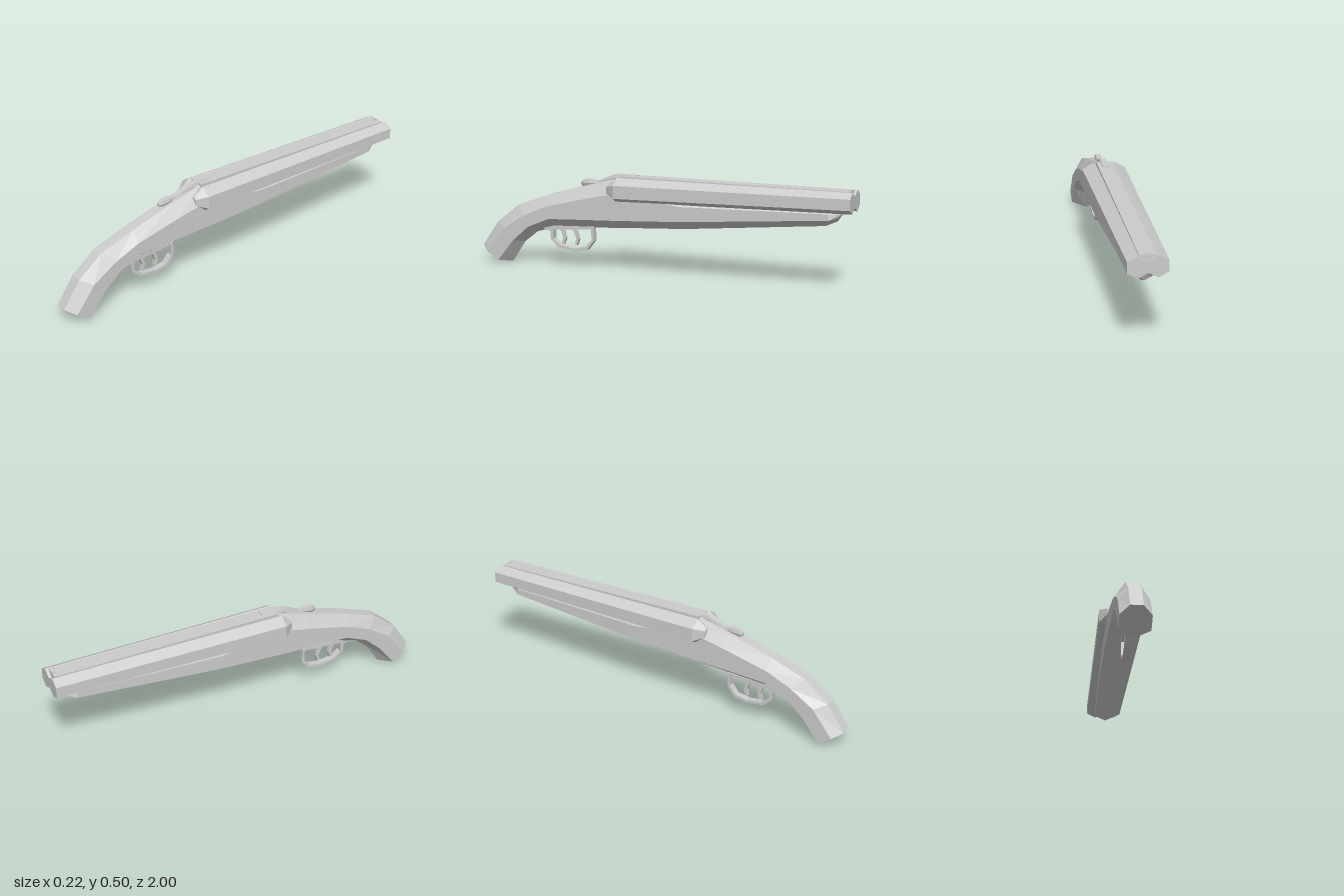
import * as THREE from 'three';

const material = new THREE.MeshStandardMaterial({ color: 0xcccccc, flatShading: true });

function addMesh(parent, name, geometry) {
  const mesh = new THREE.Mesh(geometry, material);
  mesh.name = name;
  parent.add(mesh);
  return mesh;
}

// Closed skin over rings of [x, y, z], counterclockwise seen from +z, ordered from -z to +z
function loft(rings) {
  const n = rings[0].length;
  const points = rings.flat();
  const index = [];
  for (let i = 0; i < rings.length - 1; i++) {
    for (let j = 0; j < n; j++) {
      const a = i * n + j, b = i * n + (j + 1) % n;
      index.push(a, b, a + n, b, b + n, a + n);
    }
  }
  for (const end of [0, rings.length - 1]) {
    const ring = rings[end];
    const centre = points.length;
    points.push([0, 1, 2].map(k => ring.reduce((sum, p) => sum + p[k], 0) / n));
    for (let j = 0; j < n; j++) {
      const a = end * n + j, b = end * n + (j + 1) % n;
      if (end === 0) index.push(centre, b, a);
      else index.push(centre, a, b);
    }
  }
  const geometry = new THREE.BufferGeometry();
  geometry.setAttribute('position', new THREE.Float32BufferAttribute(points.flat(), 3));
  geometry.setIndex(index);
  const flat = geometry.toNonIndexed();
  flat.computeVertexNormals();
  return flat;
}

// Seven-sided stock section: [z, y] of flat top, upper side, lower side and keel
function stockRing([top, upper, lower, keel, topWidth, width]) {
  return [
    [0, keel[1], keel[0]],
    [width, lower[1], lower[0]],
    [width, upper[1], upper[0]],
    [topWidth, top[1], top[0]],
    [-topWidth, top[1], top[0]],
    [-width, upper[1], upper[0]],
    [-width, lower[1], lower[0]],
  ];
}

// Hexagon with a point at top and bottom
function hexRing(z, cx, cy, halfWidth, halfHeight, sideHalf) {
  return [
    [cx, cy - halfHeight, z],
    [cx + halfWidth, cy - sideHalf, z],
    [cx + halfWidth, cy + sideHalf, z],
    [cx, cy + halfHeight, z],
    [cx - halfWidth, cy + sideHalf, z],
    [cx - halfWidth, cy - sideHalf, z],
  ];
}

// Extrude a side outline given in [z, y], centred on x = 0
function sidePlate(outline, thickness, hole) {
  const toPoints = list => list.map(([z, y]) => new THREE.Vector2(-z, y));
  const shape = new THREE.Shape(toPoints(outline));
  if (hole) shape.holes.push(new THREE.Path(toPoints(hole)));
  const geometry = new THREE.ExtrudeGeometry(shape, { depth: thickness, bevelEnabled: false });
  geometry.translate(0, 0, -thickness / 2);
  return geometry.rotateY(Math.PI / 2);
}

export function createModel() {
  const group = new THREE.Group();
  group.name = 'shortDoubleBarrel';

  // Grip, receiver and fore-end in one faceted body
  const stations = [
    [[-0.95, 0.41], [-0.945, 0.392], [-0.93, 0.372], [-0.92, 0.35], 0.015, 0.03],
    [[-0.87, 0.42], [-0.88, 0.39], [-0.89, 0.36], [-0.86, 0.322], 0.025, 0.055],
    [[-0.13, 0.45], [-0.13, 0.375], [-0.14, 0.3], [-0.13, 0.25], 0.03, 0.076],
    [[0.21, 0.492], [0.2, 0.42], [0.2, 0.28], [0.2, 0.23], 0.03, 0.077],
    [[0.36, 0.45], [0.36, 0.385], [0.36, 0.272], [0.36, 0.219], 0.03, 0.075],
    [[0.6, 0.38], [0.6, 0.325], [0.59, 0.26], [0.58, 0.205], 0.03, 0.073],
    [[0.785, 0.315], [0.73, 0.27], [0.71, 0.21], [0.69, 0.175], 0.03, 0.073],
    [[0.91, 0.215], [0.855, 0.19], [0.8, 0.13], [0.765, 0.115], 0.03, 0.073],
    [[1, 0.085], [0.955, 0.06], [0.89, 0.018], [0.84, 0.003], 0.03, 0.073],
  ];
  addMesh(group, 'stock', loft(stations.map(stockRing)));

  // Twin hexagonal barrels with tapered breech ends
  for (const side of [1, -1]) {
    addMesh(group, side > 0 ? 'leftBarrel' : 'rightBarrel', loft([
      hexRing(-1, side * 0.0465, 0.448, 0.0465, 0.052, 0.027),
      hexRing(0.21, side * 0.055, 0.431, 0.055, 0.065, 0.033),
      hexRing(0.262, side * 0.052, 0.432, 0.02, 0.025, 0.016),
    ]));
  }

  // Sighting rib between the barrels, and its front bead
  const rib = addMesh(group, 'rib', new THREE.BoxGeometry(0.078, 0.024, 1.19));
  rib.position.set(0, 0.489, -0.39);
  const bead = addMesh(group, 'frontSight', new THREE.BoxGeometry(0.016, 0.008, 0.015));
  bead.position.set(0, 0.501, -0.975);

  // Opening lever: [z, top, bottom, half width]
  const lever = [
    [0.12, 0.506, 0.485, 0.02],
    [0.24, 0.506, 0.47, 0.02],
    [0.29, 0.487, 0.455, 0.018],
    [0.335, 0.466, 0.445, 0.012],
    [0.385, 0.47, 0.435, 0.018],
    [0.415, 0.468, 0.432, 0.016],
    [0.432, 0.455, 0.438, 0.009],
  ];
  addMesh(group, 'topLever', loft(lever.map(([z, top, bottom, w]) => [
    [w * 0.6, bottom, z], [w, (top + bottom) / 2, z], [w * 0.8, top, z],
    [-w * 0.8, top, z], [-w, (top + bottom) / 2, z], [-w * 0.6, bottom, z],
  ])));

  // Trigger guard loop
  addMesh(group, 'triggerGuard', sidePlate(
    [[0.66, 0.2], [0.61, 0.185], [0.607, 0.14], [0.56, 0.1], [0.47, 0.088], [0.4, 0.1],
      [0.36, 0.15], [0.362, 0.225], [0.6, 0.215]],
    0.032,
    [[0.59, 0.195], [0.592, 0.145], [0.552, 0.113], [0.47, 0.102], [0.408, 0.114],
      [0.374, 0.155], [0.375, 0.212]],
  ));

  // Two curved triggers
  const trigger = [[0.06, 0.225], [0.025, 0.19], [0.012, 0.155], [0.02, 0.125], [0.008, 0.12],
    [-0.004, 0.152], [0.008, 0.195], [0.03, 0.225]];
  [['rearTrigger', 0.527], ['frontTrigger', 0.452]].forEach(([name, z]) => {
    addMesh(group, name, sidePlate(trigger.map(([dz, y]) => [z + dz, y]), 0.018));
  });

  return group;
}
